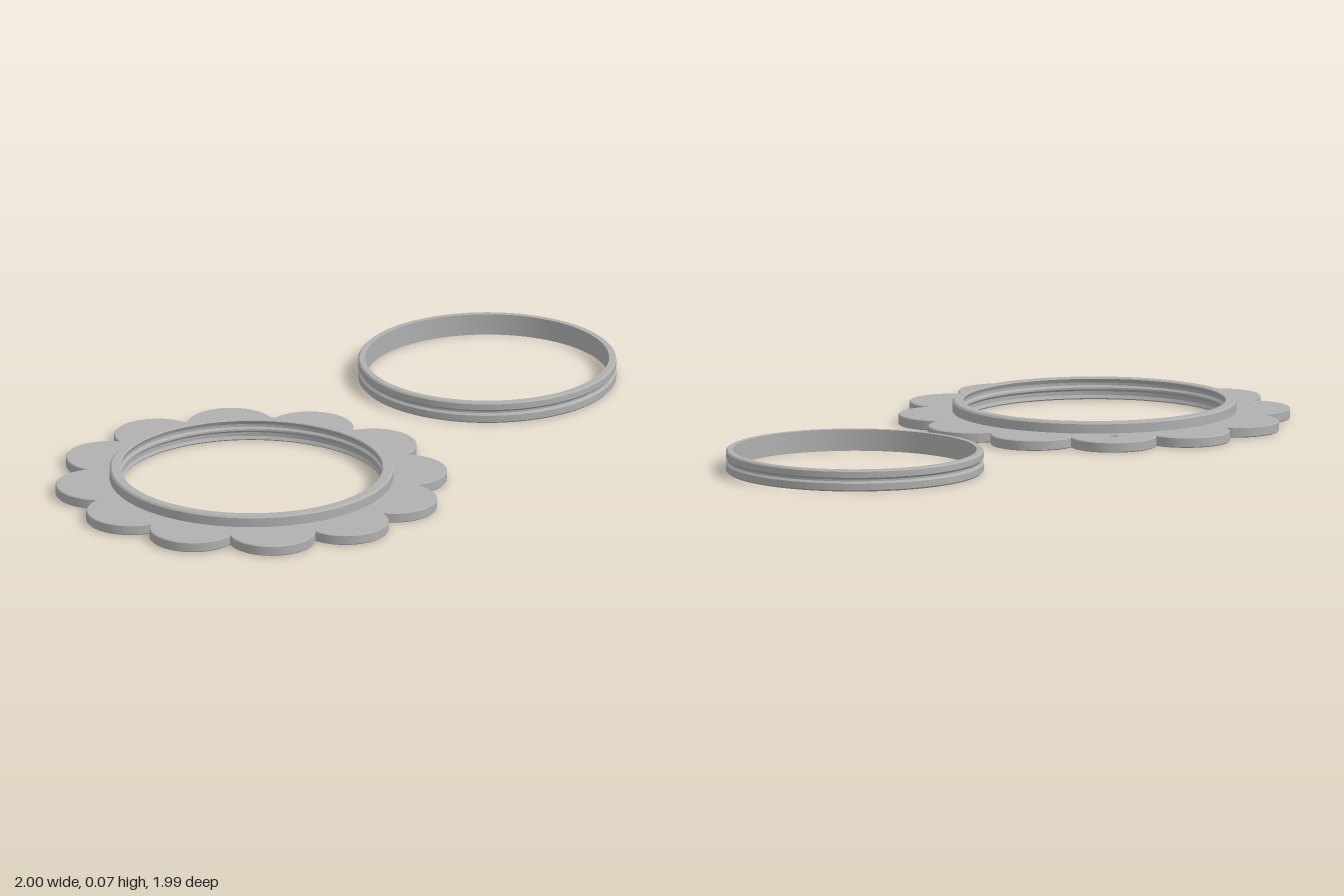
import * as THREE from 'three';
import { toCreasedNormals } from 'three/addons/utils/BufferGeometryUtils.js';

const HEIGHT = 0.072;
const PLATE_HEIGHT = 0.035;
const PETALS = 12;
const PETAL_RADIUS = 0.145;
const PETAL_DISTANCE = 0.51;

// Closed ring profile, counterclockwise in (radius, height)
function ringGeometry(profile) {
  const points = [...profile, profile[0]].map(([r, y]) => new THREE.Vector2(r, y));
  return toCreasedNormals(new THREE.LatheGeometry(points, 120), 0.4);
}

function circleHole(x, y, r) {
  return new THREE.Path().absarc(x, y, r, 0, Math.PI * 2, true);
}

// Scalloped outline: one arc per petal, meeting in the valleys
function petalPlateGeometry() {
  const step = (Math.PI * 2) / PETALS;
  const side = PETAL_DISTANCE * Math.sin(step / 2);
  const along = PETAL_DISTANCE * Math.cos(step / 2);
  const valley = along + Math.sqrt(PETAL_RADIUS ** 2 - side ** 2);
  const half = Math.atan2(valley * Math.sin(step / 2), valley * Math.cos(step / 2) - PETAL_DISTANCE);
  const shape = new THREE.Shape();
  for (let i = 0; i < PETALS; i++) {
    const a = i * step;
    shape.absarc(PETAL_DISTANCE * Math.cos(a), PETAL_DISTANCE * Math.sin(a), PETAL_RADIUS, a - half, a + half, false);
  }
  // Central opening and hanging hole
  shape.holes.push(circleHole(0, 0, 0.46), circleHole(0, 0.515, 0.018));
  const bevel = 0.003;
  const geometry = new THREE.ExtrudeGeometry(shape, {
    depth: PLATE_HEIGHT - 2 * bevel,
    curveSegments: 32,
    bevelEnabled: true,
    bevelSize: bevel,
    bevelThickness: bevel,
    bevelOffset: -bevel,
    bevelSegments: 1,
  });
  geometry.translate(0, 0, bevel).rotateX(-Math.PI / 2);
  return toCreasedNormals(geometry, 0.4);
}

export function createModel() {
  const grey = new THREE.MeshStandardMaterial({ color: 0xb0b0b0 });
  grey.name = 'grey plastic';
  const add = (parent, name, geometry) => {
    const mesh = new THREE.Mesh(geometry, grey);
    mesh.name = name;
    parent.add(mesh);
  };
  const model = new THREE.Group();
  model.name = 'flowerFrameSet';

  // Flower frame with a raised collar and an inner snap ridge
  const frame = new THREE.Group();
  frame.name = 'flowerFrame';
  frame.position.set(-0.345, 0, 0.34);
  add(frame, 'petalPlate', petalPlateGeometry());
  add(frame, 'collar', ringGeometry([
    [0.438, 0], [0.466, 0], [0.472, 0.004], [0.472, HEIGHT - 0.006], [0.466, HEIGHT],
    [0.438, HEIGHT], [0.435, HEIGHT - 0.003], [0.441, 0.056], [0.441, 0.047],
    [0.434, 0.04], [0.434, 0.034], [0.441, 0.027], [0.441, 0.014], [0.435, 0.004],
  ]));
  model.add(frame);

  // Separate snap ring with a groove around the outside
  const ring = new THREE.Group();
  ring.name = 'snapRing';
  ring.position.set(0.567, 0, -0.57);
  add(ring, 'groovedBand', ringGeometry([
    [0.405, 0], [0.424, 0], [0.429, 0.005], [0.429, 0.027], [0.422, 0.034],
    [0.422, 0.04], [0.429, 0.047], [0.429, HEIGHT - 0.005], [0.424, HEIGHT], [0.405, HEIGHT],
  ]));
  model.add(ring);
  return model;
}
